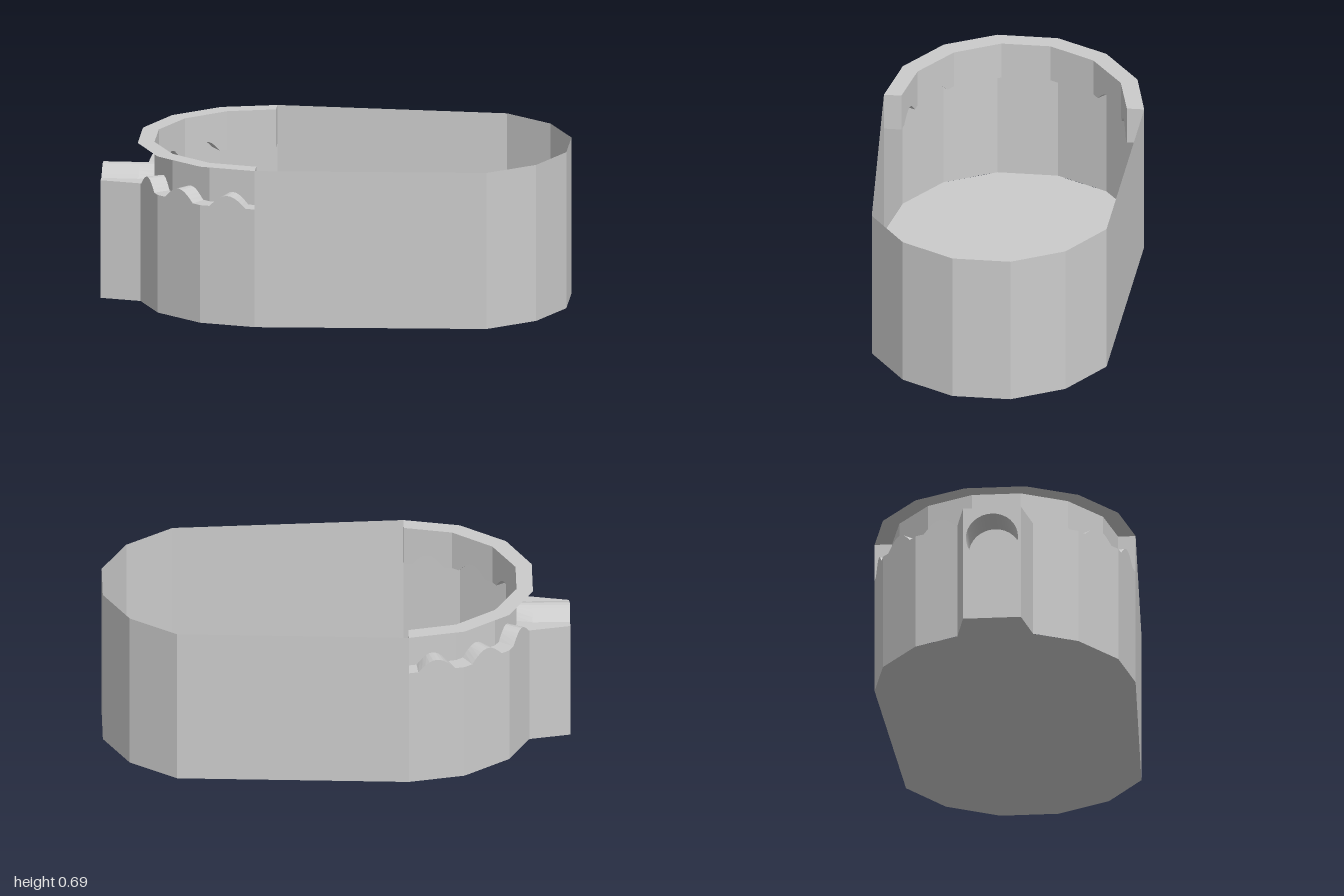
import * as THREE from 'three';

const TOP = 0.69, LEDGE = 0.52, BUMP = 0.05;
const mat = new THREE.MeshStandardMaterial({ color: 0xcccccc, flatShading: true, side: THREE.DoubleSide });

// Half outlines in [x, z], mirrored to the -z side
const mirror = (pts) => [...pts, ...pts.map(([x, z]) => [x, -z]).reverse()];
const rimOuter = mirror([[-0.3, 0.56], [-0.54, 0.505], [-0.735, 0.35], [-0.84, 0.13]]);
const rimInner = mirror([[-0.3, 0.485], [-0.505, 0.437], [-0.675, 0.3], [-0.77, 0.105]]);
const bow = mirror([[-0.3, 0.56], [0.69, 0.505], [0.89, 0.35], [1, 0.125]])
  .map(([x, z]) => [x, -z]);

const at = (pts, y) => pts.map(([x, z]) => new THREE.Vector3(x, y, z));

// Ruled strip between an upper (or inner) row and a lower (or outer) row
function strip(name, a, b) {
  const pts = [];
  for (let i = 0; i < a.length - 1; i++) {
    pts.push(a[i], a[i + 1], b[i + 1], a[i], b[i + 1], b[i]);
  }
  const geo = new THREE.BufferGeometry().setFromPoints(pts);
  geo.computeVertexNormals();
  const mesh = new THREE.Mesh(geo, mat);
  mesh.name = name;
  return mesh;
}

// One edge with a rounded bump at its middle
function bumpEdge([x0, z0], [x1, z1], from, to, segs = 10) {
  const row = [];
  const add = (t, y) => row.push(new THREE.Vector3(x0 + (x1 - x0) * t, y, z0 + (z1 - z0) * t));
  add(0, LEDGE);
  for (let i = 0; i <= segs; i++) {
    add(from + (to - from) * i / segs, LEDGE + BUMP * Math.sin(Math.PI * i / segs));
  }
  add(1, LEDGE);
  return row;
}

const wavyRow = (pts) => pts.slice(0, -1).flatMap((p, i) => bumpEdge(p, pts[i + 1], 0.17, 0.83));

function createSpout() {
  const spout = new THREE.Group();
  spout.name = 'spout';
  const root = [-0.823, 0.163], tip = [-1, 0.124];
  const endRow = bumpEdge(tip, [tip[0], -tip[1]], 0.16, 0.84);
  // Root row follows the bump of the body wall behind it
  const rootRow = bumpEdge([-0.84, 0.13], [-0.84, -0.13], 0.17, 0.83);
  rootRow[0].set(root[0], LEDGE, root[1]);
  rootRow[rootRow.length - 1].set(root[0], LEDGE, -root[1]);
  spout.add(strip('spoutTop', rootRow, endRow));

  const left = [root, tip];
  const right = left.map(([x, z]) => [x, -z]).reverse();
  for (const side of [left, right]) spout.add(strip('spoutSide', at(side, LEDGE), at(side, 0)));

  // End plate with a round opening
  const shape = new THREE.Shape([
    new THREE.Vector2(-tip[1], 0), new THREE.Vector2(tip[1], 0),
    ...endRow.map((p) => new THREE.Vector2(p.z, p.y)),
  ]);
  const hole = new THREE.Path();
  hole.absarc(0, 0.38, 0.112, 0, Math.PI * 2, true);
  shape.holes.push(hole);
  const plate = new THREE.Mesh(new THREE.ShapeGeometry(shape, 16).rotateY(-Math.PI / 2), mat);
  plate.position.x = tip[0];
  plate.name = 'spoutEnd';
  spout.add(plate);

  const bore = new THREE.Mesh(
    new THREE.CylinderGeometry(0.112, 0.112, 0.16, 32, 1, true).rotateZ(Math.PI / 2),
    new THREE.MeshStandardMaterial({ color: 0xcccccc, side: THREE.DoubleSide }));
  bore.position.set(-0.92, 0.38, 0);
  bore.name = 'spoutBore';
  spout.add(bore);
  return spout;
}

export function createModel() {
  const model = new THREE.Group();
  model.name = 'basin';

  // Full-height wall of the long open part
  model.add(strip('mainWall', at(bow, TOP), at(bow, 0)));

  // Grooved end: lower wall, wavy ledge, recessed wall and flat rim above
  const outerWave = wavyRow(rimOuter), innerWave = wavyRow(rimInner);
  const flat = (row, y) => row.map((p) => new THREE.Vector3(p.x, y, p.z));
  model.add(
    strip('lowerWall', outerWave, flat(outerWave, 0)),
    strip('wavyLedge', innerWave, outerWave),
    strip('recessedWall', flat(innerWave, TOP), innerWave),
    strip('rim', at(rimInner, TOP), at(rimOuter, TOP)));

  // Upright faces closing both ends of the groove
  const ends = [[rimOuter[0], rimInner[0]], [rimInner.at(-1), rimOuter.at(-1)]];
  for (const e of ends) model.add(strip('grooveEnd', at(e, TOP), at(e, LEDGE)));

  // Floor, including the underside of the spout
  const half = [[1, 0.125], [0.89, 0.35], [0.69, 0.505], [-0.3, 0.56], [-0.54, 0.505],
    [-0.735, 0.35], [-0.823, 0.163], [-1, 0.124]];
  const outline = new THREE.Shape(mirror(half).map(([x, z]) => new THREE.Vector2(x, z)));
  const floor = new THREE.Mesh(new THREE.ShapeGeometry(outline).rotateX(Math.PI / 2), mat);
  floor.name = 'floor';
  model.add(floor, createSpout());
  return model;
}
